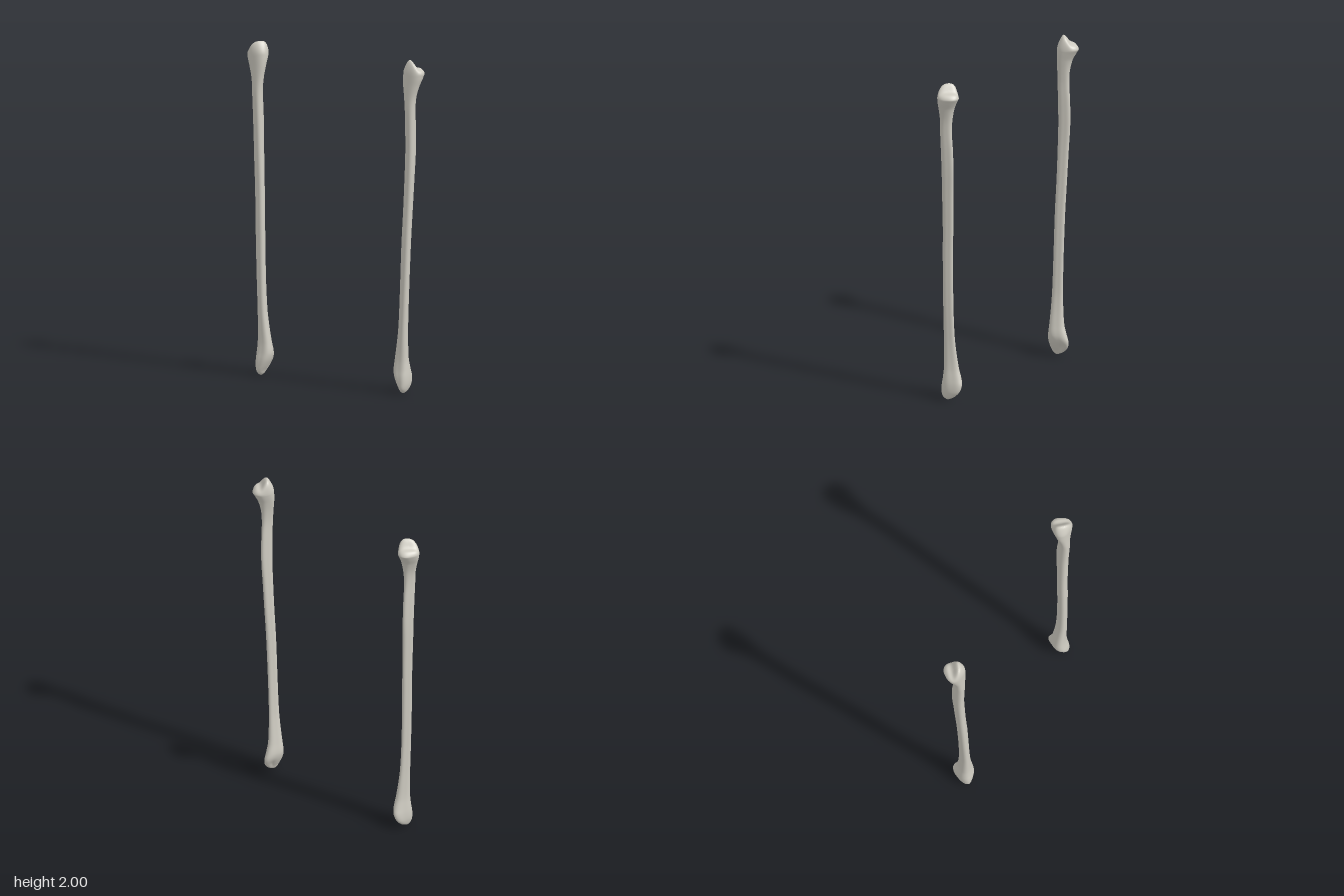
import * as THREE from 'three';

const bone = new THREE.MeshStandardMaterial({ color: 0xcfccc2 });
bone.name = 'bone';

// Cross-sections: y, inner x, outer x, back z, front z, triangularity
const SECTIONS = [
  [0.003, 0.500, 0.512, 0.030, 0.050, 0.00],
  [0.012, 0.491, 0.522, 0.010, 0.064, 0.02],
  [0.03, 0.483, 0.530, -0.018, 0.075, 0.06],
  [0.06, 0.466, 0.536, -0.045, 0.077, 0.10],
  [0.10, 0.448, 0.537, -0.055, 0.075, 0.12],
  [0.14, 0.440, 0.534, -0.045, 0.069, 0.12],
  [0.20, 0.447, 0.528, -0.027, 0.063, 0.12],
  [0.30, 0.463, 0.526, -0.015, 0.061, 0.12],
  [0.40, 0.475, 0.527, -0.008, 0.060, 0.12],
  [0.60, 0.484, 0.535, -0.005, 0.058, 0.12],
  [0.90, 0.492, 0.546, -0.010, 0.053, 0.12],
  [1.10, 0.500, 0.553, -0.018, 0.047, 0.12],
  [1.30, 0.508, 0.562, -0.025, 0.045, 0.12],
  [1.45, 0.513, 0.567, -0.032, 0.045, 0.12],
  [1.60, 0.515, 0.570, -0.028, 0.050, 0.11],
  [1.70, 0.514, 0.573, -0.020, 0.053, 0.10],
  [1.78, 0.506, 0.580, -0.023, 0.051, 0.09],
  [1.85, 0.495, 0.599, -0.037, 0.050, 0.08],
  [1.89, 0.491, 0.613, -0.057, 0.050, 0.08],
  [1.92, 0.490, 0.620, -0.075, 0.050, 0.08],
];
// Height of the head's top surface along its diagonal
const CREST = [[-0.09, 1.93], [-0.05, 1.98], [-0.02, 2.003], [0.018, 1.957], [0.05, 1.95], [0.09, 1.925]];
const SIDES = 40;

// Smooth interpolation through rows keyed by their first value
function sample(rows, t) {
  let i = 0;
  while (i < rows.length - 2 && t > rows[i + 1][0]) i++;
  const a = rows[i], b = rows[i + 1], h = b[0] - a[0];
  const p = rows[Math.max(i - 1, 0)], n = rows[Math.min(i + 2, rows.length - 1)];
  const u = THREE.MathUtils.clamp((t - a[0]) / h, 0, 1);
  return a.map((v, k) => {
    const m0 = (b[k] - p[k]) / (b[0] - p[0]) * h, m1 = (n[k] - v) / (n[0] - a[0]) * h;
    return v * (1 + 2 * u) * (1 - u) ** 2 + m0 * u * (1 - u) ** 2
      + b[k] * u * u * (3 - 2 * u) + m1 * u * u * (u - 1);
  });
}

// Rounded triangle fitted to the section's width and depth
function ring(y) {
  const [, x0, x1, z0, z1, k] = sample(SECTIONS, y);
  const raw = [];
  for (let j = 0; j < SIDES; j++) {
    const a = j / SIDES * Math.PI * 2;
    const r = 1 + k * Math.cos(3 * (a - Math.PI / 6));
    raw.push([r * Math.cos(a), r * Math.sin(a), a]);
  }
  const xs = raw.map(p => p[0]), zs = raw.map(p => p[1]);
  const fit = (v, list, lo, hi) => THREE.MathUtils.mapLinear(v, Math.min(...list), Math.max(...list), lo, hi);
  const cx = (x0 + x1) / 2, cz = (z0 + z1) / 2;
  return raw.map(([rx, rz, a]) => {
    // hollow on the inner back of the ankle end
    const dent = 1 - 0.28 * Math.exp(-(((a - 3.85) / 0.4) ** 2) - ((y - 0.055) / 0.03) ** 2);
    return [cx + (fit(rx, xs, x0, x1) - cx) * dent, y, cz + (fit(rz, zs, z0, z1) - cz) * dent];
  });
}

function boneGeometry(side) {
  const rings = [];
  // ankle end, shaft and neck
  for (let i = 0; i < SECTIONS.length - 1; i++) {
    const a = SECTIONS[i][0], b = SECTIONS[i + 1][0];
    for (let s = 0; s < 4; s++) rings.push(ring(a + (b - a) * s / 4));
  }
  const rim = ring(1.92);
  rings.push(rim);
  // notched cap of the head
  const cx = 0.555, cz = -0.008;
  for (let i = 1; i <= 14; i++) {
    const s = Math.cos(i / 14 * Math.PI / 2);
    rings.push(rim.map(([px, , pz]) => {
      const x = cx + (px - cx) * s, z = cz + (pz - cz) * s;
      const top = sample(CREST, (x - 0.555 - z) * Math.SQRT1_2)[1];
      return [x, 1.92 + (top - 1.92) * Math.sqrt(1 - s ** 4), z];
    }));
  }
  const pos = rings.flat().flatMap(([x, y, z]) => [x * side, y, z]);
  const index = [];
  const tri = (a, b, c) => (side > 0 ? index.push(a, b, c) : index.push(a, c, b));
  for (let i = 0; i < rings.length - 1; i++) {
    for (let j = 0; j < SIDES; j++) {
      const a = i * SIDES + j, b = i * SIDES + (j + 1) % SIDES;
      tri(a, a + SIDES, b);
      tri(b, a + SIDES, b + SIDES);
    }
  }
  // close the lower tip
  const tip = pos.length / 3;
  pos.push(0.506 * side, 0, 0.04);
  for (let j = 0; j < SIDES; j++) tri(tip, j, (j + 1) % SIDES);

  const g = new THREE.BufferGeometry();
  g.setAttribute('position', new THREE.Float32BufferAttribute(pos, 3));
  g.setIndex(index);
  g.computeVertexNormals();
  return g;
}

export function createModel() {
  const group = new THREE.Group();
  group.name = 'calfBones';
  for (const [name, side] of [['leftCalfBone', 1], ['rightCalfBone', -1]]) {
    const mesh = new THREE.Mesh(boneGeometry(side), bone);
    mesh.name = name;
    group.add(mesh);
  }
  return group;
}
